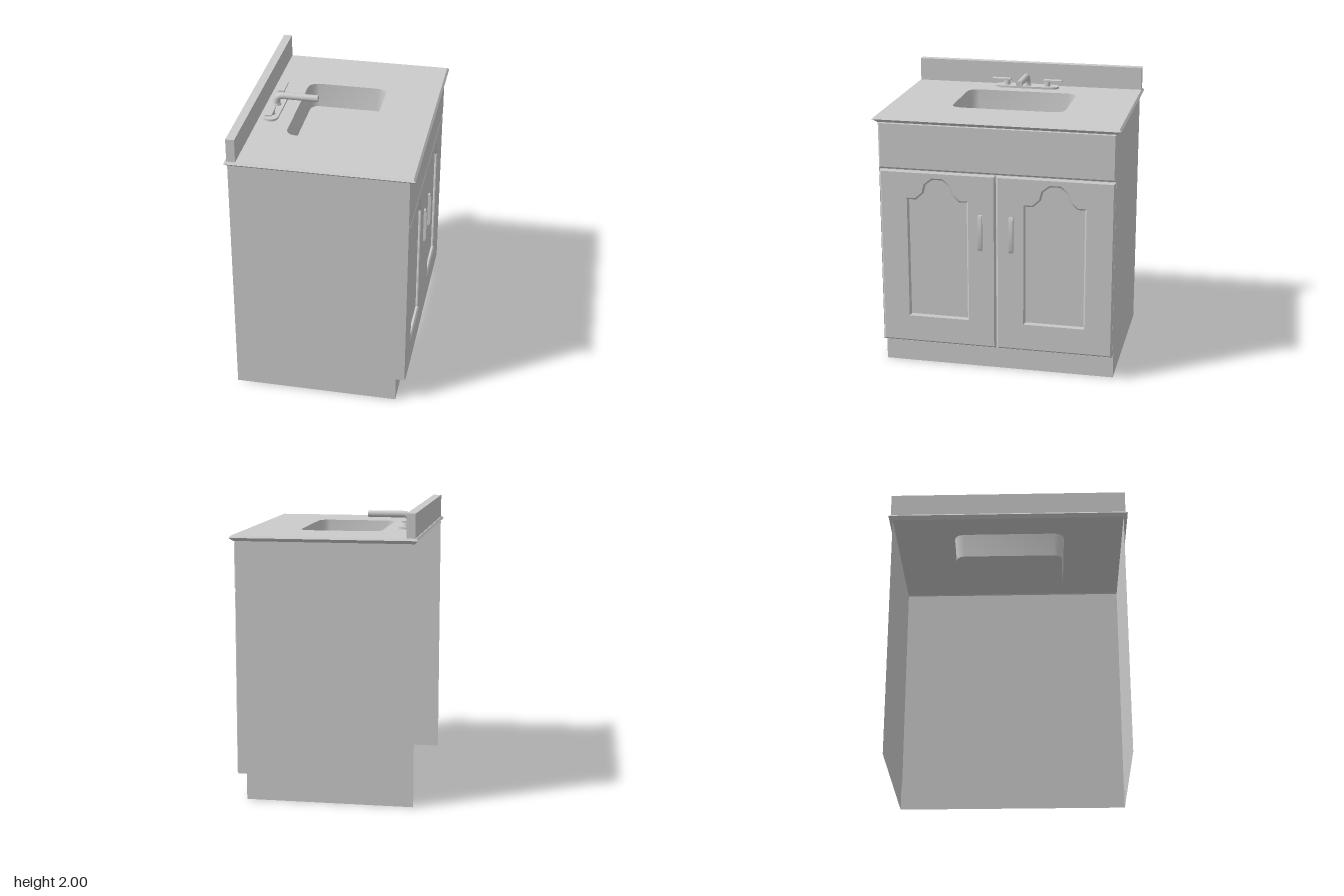
import * as THREE from 'three';
import { toCreasedNormals } from 'three/addons/utils/BufferGeometryUtils.js';

const mat = new THREE.MeshStandardMaterial({ color: 0xcccccc, side: THREE.DoubleSide });
const TOP = 1.835;

export function createModel() {
  const model = new THREE.Group();
  model.name = 'sinkCabinet';

  const add = (name, geometry, x = 0, y = 0, z = 0, parent = model) => {
    const mesh = new THREE.Mesh(toCreasedNormals(geometry, 0.6), mat);
    mesh.name = name;
    mesh.position.set(x, y, z);
    parent.add(mesh);
    return mesh;
  };
  const box = (name, x0, x1, y0, y1, z0, z1, parent) =>
    add(name, new THREE.BoxGeometry(x1 - x0, y1 - y0, z1 - z0),
      (x0 + x1) / 2, (y0 + y1) / 2, (z0 + z1) / 2, parent);
  const points = (list) => list.map(([x, y]) => new THREE.Vector2(x, y));
  const rect = (x0, x1, y0, y1) => points([[x0, y0], [x1, y0], [x1, y1], [x0, y1]]);

  // Rounded rectangle in plan, centred on (cx, 0)
  const roundedRect = (cx, hx, hz, r, steps = 3) => {
    const out = [];
    [[1, 1], [-1, 1], [-1, -1], [1, -1]].forEach(([sx, sz], q) => {
      for (let i = 0; i <= steps; i++) {
        const a = (q + i / steps) * Math.PI / 2;
        out.push(new THREE.Vector2(cx + sx * (hx - r) + r * Math.cos(a), sz * (hz - r) + r * Math.sin(a)));
      }
    });
    return out;
  };

  // Skin between horizontal loops, listed from the top down
  const loft = (loops) => {
    const pos = [], index = [], n = loops[0].pts.length;
    loops.forEach(({ pts, y }) => pts.forEach((p) => pos.push(p.x, y, p.y)));
    for (let k = 0; k < loops.length - 1; k++) {
      for (let i = 0; i < n; i++) {
        const a = k * n + i, b = k * n + (i + 1) % n;
        index.push(a, b, a + n, b, b + n, a + n);
      }
    }
    const g = new THREE.BufferGeometry();
    g.setAttribute('position', new THREE.Float32BufferAttribute(pos, 3));
    g.setIndex(index);
    g.computeVertexNormals();
    return g;
  };
  const flatTop = (pts, holes = []) => {
    const shape = new THREE.Shape(pts);
    holes.forEach((h) => shape.holes.push(new THREE.Path(h)));
    // mirrored plan is symmetric in z, so the upward turn keeps it in place
    return new THREE.ShapeGeometry(shape).rotateX(-Math.PI / 2);
  };

  // Panel drawn in (-z, y), extruded towards +x with bevelled edges
  const frontPanel = (name, outline, hole, x0, x1, z = 0) => {
    const shape = new THREE.Shape(outline);
    if (hole) shape.holes.push(new THREE.Path(hole));
    const b = 0.01;
    const g = new THREE.ExtrudeGeometry(shape, {
      depth: x1 - x0 - 2 * b, bevelThickness: b, bevelSize: 0.012, bevelOffset: -0.012, bevelSegments: 1,
    });
    g.translate(0, 0, b).rotateY(Math.PI / 2);
    return add(name, g, x0, 0, z);
  };

  // Carcass: thin sides with a toe notch, open back and bottom
  const side = new THREE.Shape(points([[-0.62, 0], [0.54, 0], [0.54, 0.18], [0.602, 0.18], [0.602, 1.8], [-0.62, 1.8]]));
  add('leftSide', new THREE.ShapeGeometry(side), 0, 0, 0.83);
  add('rightSide', new THREE.ShapeGeometry(side), 0, 0, -0.83);
  add('toeKick', new THREE.PlaneGeometry(1.66, 0.18).rotateY(Math.PI / 2), 0.54, 0.09, 0);
  add('toeRecessTop', new THREE.PlaneGeometry(0.062, 1.66).rotateX(Math.PI / 2), 0.571, 0.18, 0);
  add('frontBacking', new THREE.PlaneGeometry(1.66, 1.62).rotateY(Math.PI / 2), 0.58, 0.99, 0);

  // False drawer front
  frontPanel('drawerFront', rect(-0.83, 0.83, 1.465, 1.8), null, 0.58, 0.612);

  // Doors with arched openings and bar handles
  const halfArch = [[0.207, 0.39], [0.207, 1.25], [0.155, 1.25], [0.1, 1.3], [0.085, 1.36], [0.035, 1.4]];
  const arch = points([...halfArch, ...halfArch.map(([u, v]) => [-u, v]).reverse()]);
  const handleSide = new THREE.Shape(points([
    [0.6, 0.91], [0.622, 0.91], [0.632, 0.935], [0.632, 1.145], [0.622, 1.17], [0.6, 1.17]]));
  for (const s of [1, -1]) {
    const label = s > 0 ? 'left' : 'right';
    frontPanel(label + 'Door', rect(-0.413, 0.413, 0.18, 1.458), arch, 0.582, 0.61, s * 0.415);
    const bar = new THREE.ExtrudeGeometry(handleSide, { depth: 0.03, bevelEnabled: false });
    add(label + 'DoorHandle', bar.translate(0, 0, -0.015), 0, 0, s * 0.11);
  }

  // Countertop with bevelled rim, and backsplash
  const basinRim = roundedRect(-0.04, 0.287, 0.405, 0.07);
  const slab = (hx, hz) => rect(-hx, hx, -hz, hz);
  add('countertop', flatTop(slab(0.626, 0.847), [basinRim]), 0, TOP, 0);
  add('countertopEdge', loft([
    { pts: slab(0.626, 0.847), y: TOP },
    { pts: slab(0.64, 0.86), y: 1.82 },
    { pts: slab(0.615, 0.83), y: 1.797 },
  ]));
  box('backsplash', -0.62, -0.56, TOP, 2, -0.845, 0.845);

  // Basin
  const basinFoot = roundedRect(-0.04, 0.272, 0.39, 0.06);
  add('basinWall', loft([{ pts: basinRim, y: TOP }, { pts: basinFoot, y: 1.66 }]));
  add('basinFloor', flatTop(basinFoot), 0, 1.66, 0);

  // Faucet
  const faucet = new THREE.Group();
  faucet.name = 'faucet';
  model.add(faucet);
  const plate = roundedRect(-0.478, 0.053, 0.24, 0.05);
  add('faucetPlate', loft([{ pts: plate, y: 1.85 }, { pts: plate, y: TOP }]), 0, 0, 0, faucet);
  add('faucetPlateTop', flatTop(plate), 0, 1.85, 0, faucet);
  const path = new THREE.CurvePath();
  const v = (x, y) => new THREE.Vector3(x, y, 0);
  path.add(new THREE.LineCurve3(v(-0.478, 1.845), v(-0.478, 1.875)));
  path.add(new THREE.QuadraticBezierCurve3(v(-0.478, 1.875), v(-0.478, 1.921), v(-0.43, 1.921)));
  path.add(new THREE.LineCurve3(v(-0.43, 1.921), v(-0.18, 1.921)));
  add('spout', new THREE.TubeGeometry(path, 32, 0.024, 12), 0, 0, 0, faucet);
  add('spoutEnd', new THREE.CircleGeometry(0.024, 12).rotateY(Math.PI / 2), -0.18, 1.921, 0, faucet);
  add('spoutCollar', new THREE.CylinderGeometry(0.028, 0.032, 0.012, 12), -0.478, 1.856, 0, faucet);
  for (const s of [1, -1]) {
    add('tapPost', new THREE.CylinderGeometry(0.02, 0.024, 0.036, 12), -0.478, 1.868, s * 0.152, faucet);
    const z = s * 0.193;
    box('tapLever', -0.502, -0.455, 1.885, 1.896, z - 0.07, z + 0.07, faucet);
  }
  return model;
}
